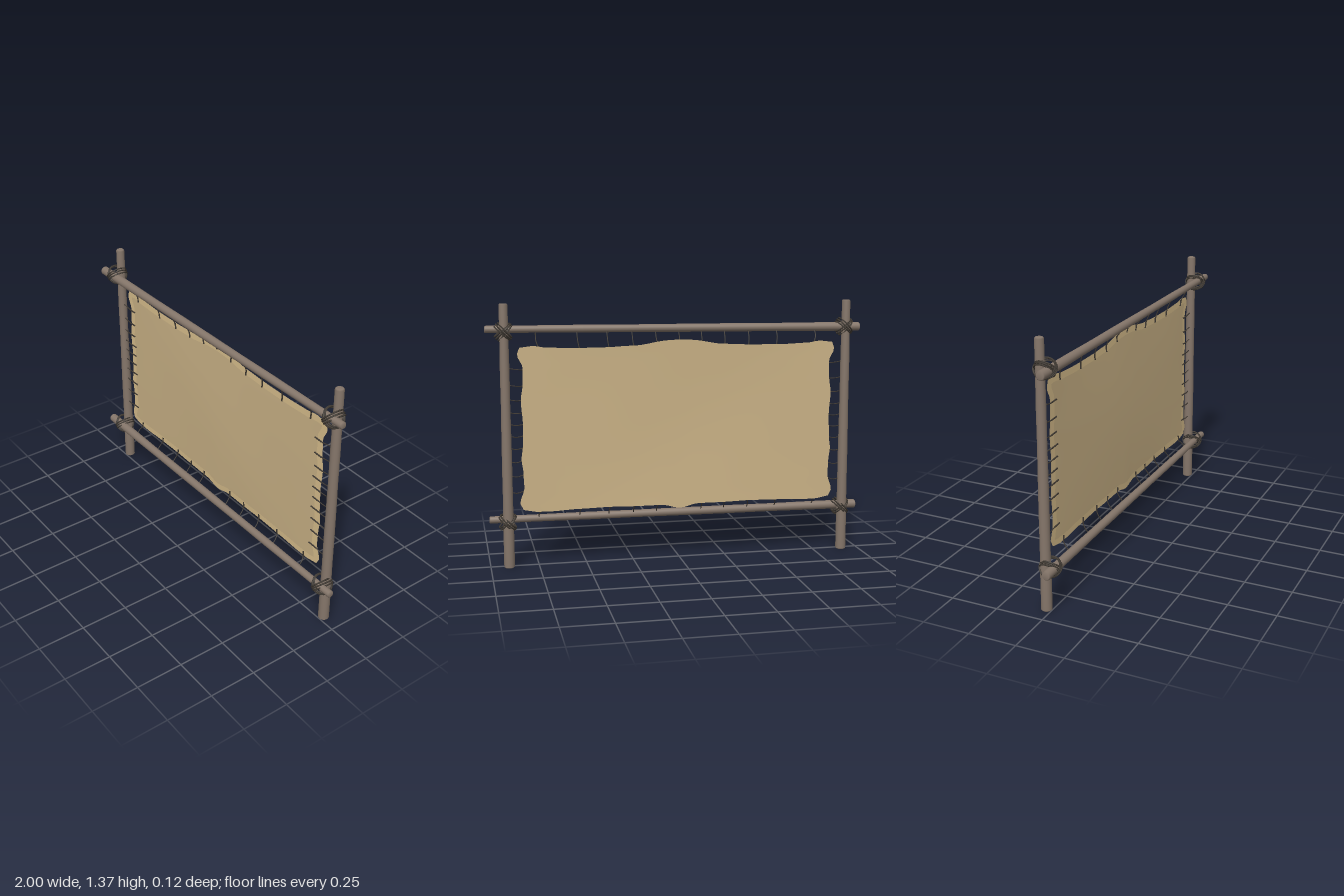
import * as THREE from 'three';

const wood = new THREE.MeshStandardMaterial({ color: 0x85766a });
wood.name = 'weathered wood';
const rope = new THREE.MeshStandardMaterial({ color: 0x3f3932 });
rope.name = 'dark cord';
const hide = new THREE.MeshStandardMaterial({ color: 0xcab286, side: THREE.DoubleSide });
hide.name = 'tan hide';
const hemTan = new THREE.MeshStandardMaterial({ color: 0xd8be8c });
hemTan.name = 'pale hem';

const V = (x, y, z) => new THREE.Vector3(x, y, z);

function add(parent, name, geometry, material) {
  const mesh = new THREE.Mesh(geometry, material);
  mesh.name = name;
  parent.add(mesh);
  return mesh;
}

// Tapered pole along y with softly rounded ends
function poleGeometry(length, r0, r1) {
  const b = 0.005, pts = [[0, 0], [r0 - b, 0], [r0, b]];
  for (let i = 1; i < 8; i++) {
    const t = i / 8;
    pts.push([r0 + (r1 - r0) * t + 0.0007 * Math.sin(i * 2.3), length * t]);
  }
  pts.push([r1, length - b], [r1 - b, length], [0, length]);
  return new THREE.LatheGeometry(pts.map(p => new THREE.Vector2(...p)), 18);
}

function cord(parent, name, points, radius, closed = false) {
  const curve = new THREE.CatmullRomCurve3(points, closed);
  return add(parent, name, new THREE.TubeGeometry(curve, closed ? 32 : 8, radius, 6, closed), rope);
}

// Smooth lookup through [position, value] pairs
function sample(table, s) {
  let i = 0;
  while (i < table.length - 2 && s > table[i + 1][0]) i++;
  const [a, p] = table[i], [b, q] = table[i + 1];
  const t = THREE.MathUtils.smoothstep(s, a, b);
  return p + (q - p) * t;
}

// Hide outline: top and bottom heights by |x|, half width by height
const TOP = [[0, 1.17], [0.05, 1.167], [0.25, 1.142], [0.4, 1.136], [0.56, 1.135], [0.7, 1.14], [0.77, 1.15], [0.84, 1.142]];
const BOTTOM = [[0, 0.274], [0.1, 0.294], [0.25, 0.294], [0.38, 0.297], [0.55, 0.294], [0.7, 0.288], [0.77, 0.289], [0.84, 0.302]];
const SIDE = [[0.29, 0.825], [0.325, 0.842], [0.41, 0.82], [0.49, 0.823], [0.56, 0.831], [0.63, 0.823], [0.75, 0.82],
  [0.87, 0.828], [0.95, 0.818], [1.04, 0.815], [1.11, 0.842], [1.145, 0.83]];

function hidePoint(u, v, lift) {
  const half = sample(SIDE, 0.29 + 0.855 * v);
  const x = u * half, s = Math.abs(u) * 0.84;
  const y0 = sample(BOTTOM, s), y1 = sample(TOP, s);
  const belly = (1 - u * u) * 4 * v * (1 - v);
  const z = -0.029 + 0.008 * belly + 0.0015 * Math.sin(5 * u + 4 * v) * belly;
  return [x, y0 + (y1 - y0) * v, z + lift];
}

// Grid of the hide; keep() selects cells so the hem can be a strip of the same surface
function sheet(lift, keep) {
  const us = [-1], vs = [0];
  for (let i = 0; i <= 56; i++) us.push(-0.957 + 1.914 * i / 56);
  for (let i = 0; i <= 40; i++) vs.push(0.038 + 0.924 * i / 40);
  us.push(1);
  vs.push(1);
  const pos = [], index = [], n = us.length, m = vs.length;
  for (const v of vs) for (const u of us) pos.push(...hidePoint(u, v, lift));
  for (let j = 0; j < m - 1; j++) for (let i = 0; i < n - 1; i++) {
    const rim = i === 0 || j === 0 || i === n - 2 || j === m - 2;
    if (!keep(rim)) continue;
    const a = j * n + i;
    index.push(a, a + 1, a + n + 1, a, a + n + 1, a + n);
  }
  const g = new THREE.BufferGeometry();
  g.setAttribute('position', new THREE.Float32BufferAttribute(pos, 3));
  g.setIndex(index);
  g.computeVertexNormals();
  return g;
}

// Crossed diagonal lashing around a post and rail
function lashing(x, y) {
  const g = new THREE.Group();
  g.name = 'cornerLashing';
  for (const side of [-1, 1]) for (let k = -1; k <= 1; k++) {
    const pts = [];
    for (let i = 0; i < 12; i++) {
      const a = i / 12 * Math.PI * 2;
      const along = Math.cos(a) * (0.053 - 0.003 * Math.abs(k));
      const off = k * 0.011 + 0.003 * Math.sin(a + k);
      pts.push(V((along - off) * Math.SQRT1_2, side * (along + off) * Math.SQRT1_2, Math.sin(a) * (0.052 + 0.002 * side)));
    }
    cord(g, 'lashingLoop', pts, 0.0042, true);
  }
  g.position.set(x, y, 0);
  return g;
}

export function createModel() {
  const model = new THREE.Group();
  model.name = 'hideStretchingFrame';

  // Upright posts
  for (const s of [-1, 1]) {
    const post = add(model, s > 0 ? 'leftPost' : 'rightPost', poleGeometry(1.365, 0.028, 0.0225), wood);
    post.position.set(s * 0.905, 0, -0.026);
  }

  // Cross rails, thicker at the -x end
  for (const [name, y0, y1] of [['topRail', 1.218, 1.233], ['bottomRail', 0.237, 0.245]]) {
    const rail = add(model, name, poleGeometry(2, 0.0235, 0.0185), wood);
    rail.position.set(-1, y0, 0.025);
    rail.rotation.z = -Math.PI / 2 + Math.atan2(y1 - y0, 2);
  }

  for (const x of [-0.905, 0.905]) for (const y of [0.235, 1.222]) model.add(lashing(x, y));

  // Stretched hide with a paler hem on its front
  add(model, 'hide', sheet(0, () => true), hide);
  add(model, 'hideHem', sheet(0.003, rim => rim), hemTan);

  const laces = new THREE.Group();
  laces.name = 'laces';
  model.add(laces);

  // Laces to the top and bottom rails
  for (const s of [-1, 1]) for (const x of [0.12, 0.243, 0.372, 0.525, 0.735]) {
    const top = sample(TOP, x), low = sample(BOTTOM, x), out = s * (x + 0.012 * x);
    cord(laces, 'topLace', [V(out, 1.212, 0.016), V(out, 1.175, -0.006), V(s * x, top, -0.018), V(s * (x - 0.005), top - 0.03, -0.02)], 0.0028);
    cord(laces, 'topStitch', [V(s * x, top + 0.004, -0.019), V(s * (x - 0.005), top - 0.03, -0.02)], 0.004);
    cord(laces, 'bottomLace', [V(out, 0.25, 0.014), V(out, 0.275, -0.006), V(s * x, low, -0.018), V(s * (x - 0.004), low + 0.033, -0.02)], 0.0028);
    cord(laces, 'bottomStitch', [V(s * x, low - 0.003, -0.019), V(s * (x - 0.004), low + 0.033, -0.02)], 0.004);
  }
  cord(laces, 'topLace', [V(0, 1.21, 0.01), V(0, 1.185, -0.008), V(0, 1.15, -0.019)], 0.0028);

  // Laces to the posts
  for (const s of [-1, 1]) [1.032, 0.948, 0.875, 0.81, 0.75, 0.69, 0.628, 0.56, 0.487, 0.403].forEach((y, i) => {
    const edge = sample(SIDE, y), tilt = (y - 0.72) * 0.02;
    cord(laces, 'sideLace', [V(s * 0.89, y + tilt, -0.022), V(s * 0.855, y - 0.006 + tilt, -0.024),
      V(s * edge, y - 0.003, -0.021), V(s * (0.768 + 0.004 * (i % 3)), y, -0.02)], 0.0028);
    cord(laces, 'sideStitch', [V(s * (edge + 0.003), y - 0.003, -0.021), V(s * (0.768 + 0.004 * (i % 3)), y, -0.02)], 0.0038);
  });

  return model;
}
